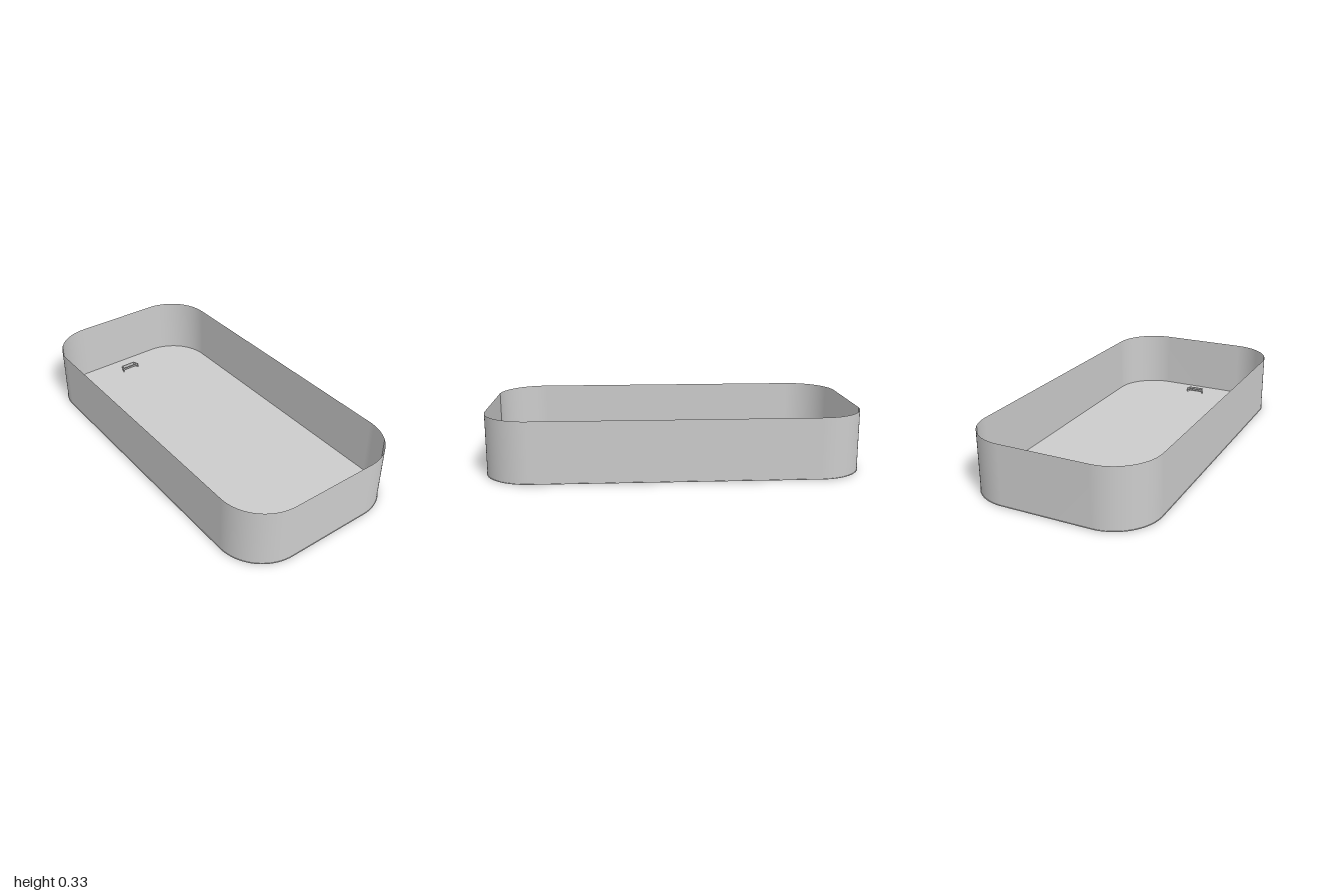
import * as THREE from 'three';

// Rounded rectangle outline given half width, half length and corner radius
function roundedShape(w, l, r) {
  const s = new THREE.Shape();
  s.absarc(w - r, l - r, r, 0, Math.PI / 2);
  s.absarc(-w + r, l - r, r, Math.PI / 2, Math.PI);
  s.absarc(-w + r, -l + r, r, Math.PI, Math.PI * 1.5);
  s.absarc(w - r, -l + r, r, Math.PI * 1.5, Math.PI * 2);
  return s;
}

// Vertical sheet that follows a closed outline, with smooth normals
function sheetWall(points, y0, y1) {
  const position = [], index = [], n = points.length;
  points.forEach((p, i) => {
    position.push(p.x, y0, -p.y, p.x, y1, -p.y);
    const a = 2 * i, b = 2 * ((i + 1) % n);
    index.push(a, b, b + 1, a, b + 1, a + 1);
  });
  const g = new THREE.BufferGeometry();
  g.setAttribute('position', new THREE.Float32BufferAttribute(position, 3));
  g.setIndex(index);
  g.computeVertexNormals();
  return g;
}

// Flat polygon in plan (x, z), raised from y0 to y1
function prism(shape, y0, y1) {
  return new THREE.ExtrudeGeometry(shape, { depth: y1 - y0, bevelEnabled: false, curveSegments: 16 })
    .rotateX(-Math.PI / 2).translate(0, y0, 0);
}

export function createModel() {
  const model = new THREE.Group();
  model.name = 'tray';
  const grey = new THREE.MeshStandardMaterial({ color: 0xcccccc, side: THREE.DoubleSide });
  grey.name = 'light grey';
  const add = (parent, name, geometry) => {
    const mesh = new THREE.Mesh(geometry, grey);
    mesh.name = name;
    parent.add(mesh);
    return mesh;
  };

  // Thin floor with a narrow lip outside the wall
  add(model, 'floor', prism(roundedShape(0.494, 1, 0.25), 0.003, 0.006));

  // Thin upright wall
  const outline = roundedShape(0.491, 0.997, 0.247).getPoints(20)
    .filter((p, i, all) => p.distanceTo(all[(i + 1) % all.length]) > 1e-5);
  add(model, 'wall', sheetWall(outline, 0.005, 0.33));

  // Small bracket at each end: flared U strip with a raised bar
  const strip = new THREE.Shape([
    [-0.056, 0.868], [-0.045, 0.904], [0.045, 0.904], [0.056, 0.868],
    [0.05, 0.868], [0.04, 0.898], [-0.04, 0.898], [-0.05, 0.868],
  ].map(([x, z]) => new THREE.Vector2(x, -z)));
  for (const end of ['front', 'back']) {
    const handle = new THREE.Group();
    handle.name = end + 'Handle';
    add(handle, 'bracketStrip', prism(strip, 0, 0.03));
    add(handle, 'bracketBar', new THREE.BoxGeometry(0.112, 0.01, 0.006).translate(0, 0.025, 0.87));
    if (end === 'back') handle.rotation.y = Math.PI;
    model.add(handle);
  }
  return model;
}
